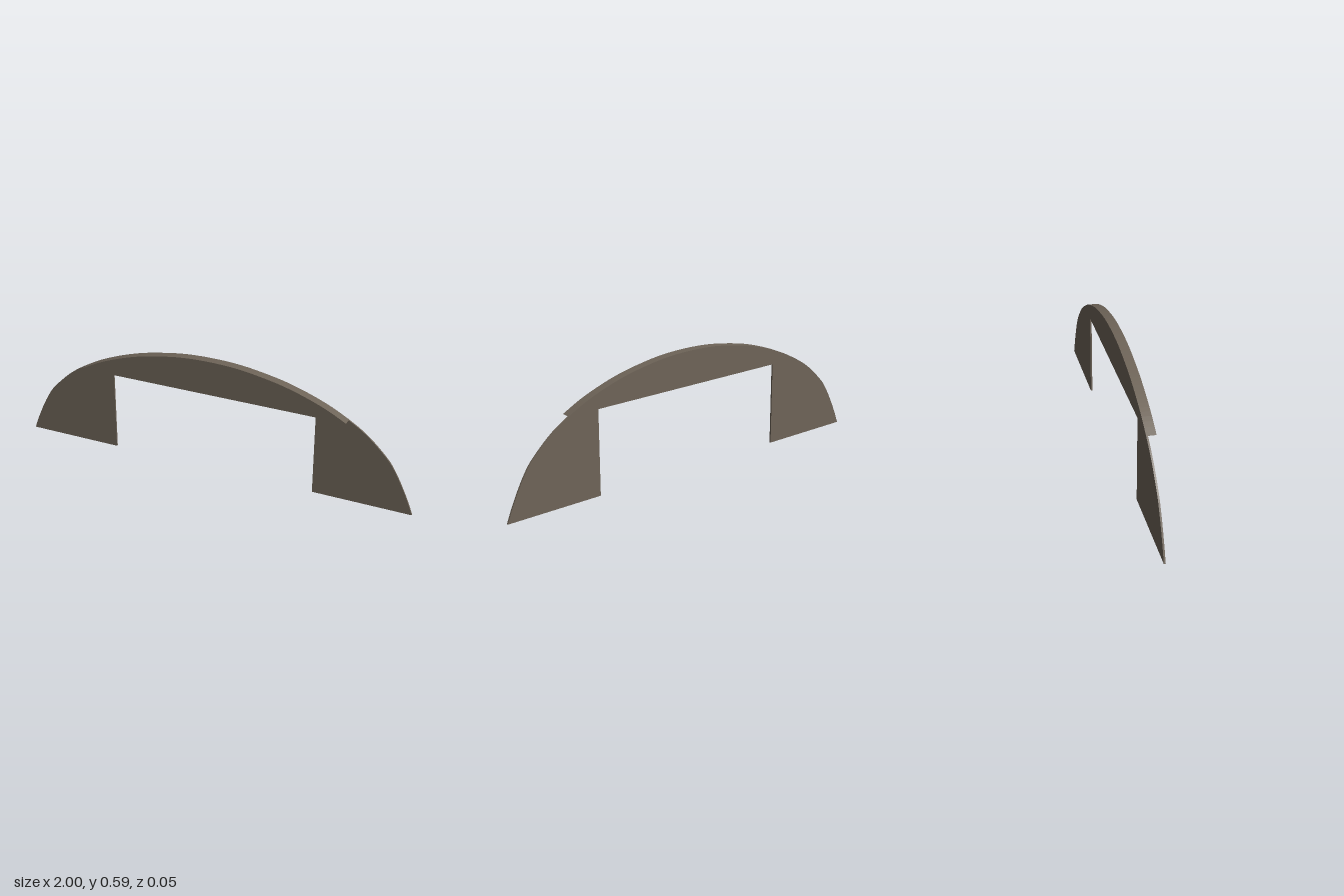
import * as THREE from 'three';

const BACK = -0.0225, SPRING = 0.417, INNER = 0.52;

// smooth run of points through a few control points
const smooth = (pts, n) =>
  new THREE.SplineCurve(pts.map(([x, y]) => new THREE.Vector2(x, y))).getPoints(n);

// extrude an outline forward from the shared back plane
function slab(name, outline, depth, material) {
  const geo = new THREE.ExtrudeGeometry(new THREE.Shape(outline), { depth, bevelEnabled: false });
  geo.translate(0, 0, BACK);
  const mesh = new THREE.Mesh(geo, material);
  mesh.name = name;
  return mesh;
}

export function createModel() {
  const group = new THREE.Group();
  group.name = 'arch';
  const stone = new THREE.MeshStandardMaterial({ color: 0x6e6458 });
  stone.name = 'brownGrey';

  // thick crown: curved top over a straight underside
  const half = [[0.675, SPRING], [0.59, 0.462], [0.5, 0.499], [0.4, 0.532], [0.3, 0.556], [0.15, 0.58]];
  const crown = [...half, [0, 0.587], ...half.map(([x, y]) => [-x, y]).reverse()];
  group.add(slab('crown', smooth(crown, 48), 0.045, stone));

  // thin side panels, mirrored left and right
  const edge = smooth([[1, 0], [0.975, 0.064], [0.94, 0.14], [0.905, 0.205], [0.87, 0.256],
    [0.8, 0.327], [0.74, 0.376], [0.675, SPRING]], 28);
  const panel = [new THREE.Vector2(INNER, 0), ...edge, new THREE.Vector2(INNER, SPRING)];
  for (const [name, s] of [['leftPanel', 1], ['rightPanel', -1]]) {
    group.add(slab(name, panel.map(p => new THREE.Vector2(p.x * s, p.y)), 0.008, stone));
  }
  return group;
}
